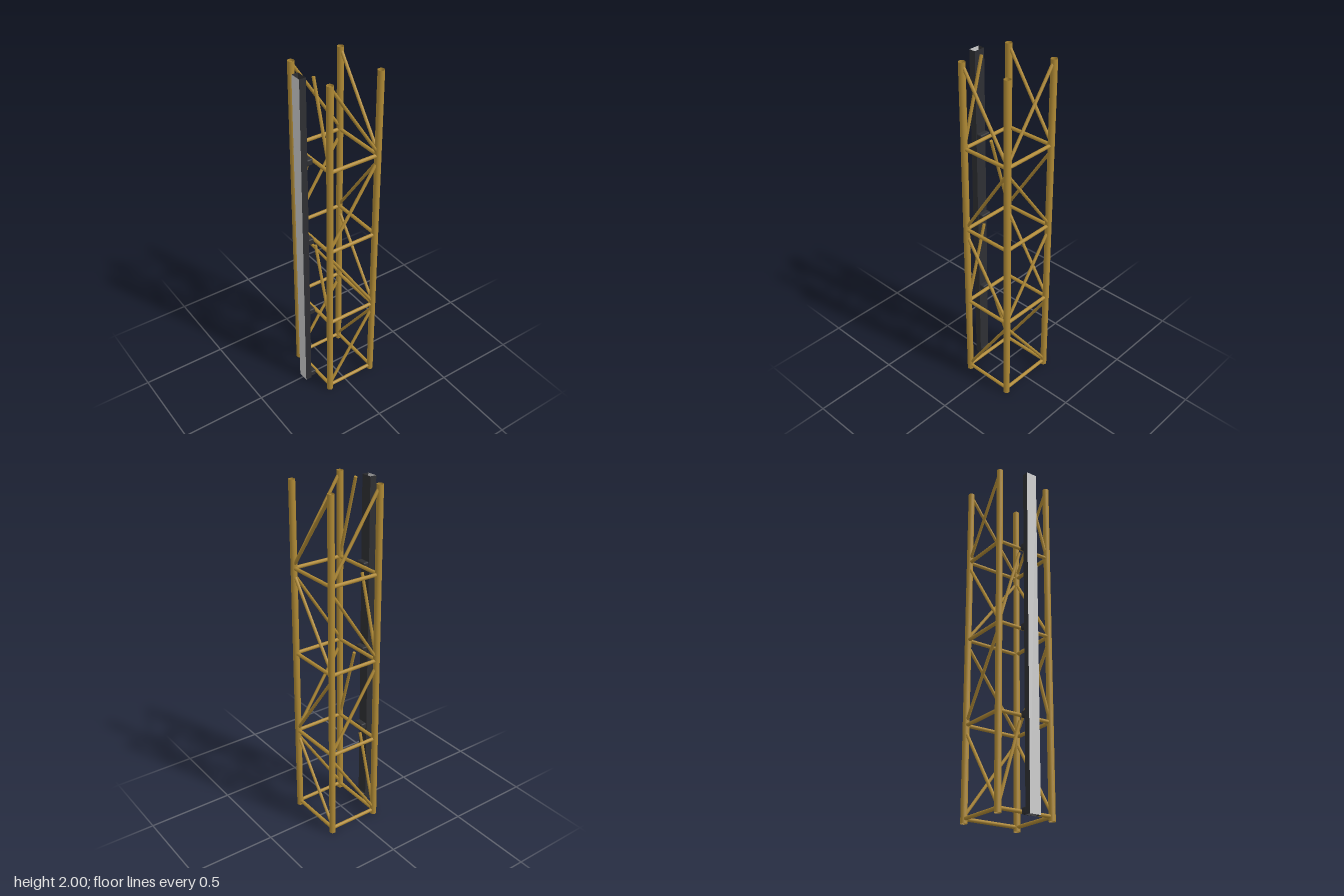
import * as THREE from 'three';
import { RoundedBoxGeometry } from 'three/addons/geometries/RoundedBoxGeometry.js';

const X = 0.167, FRONT = 0.118, BACK = -0.182; // post axes
const LEVELS = [0, 0.5, 1, 1.5];               // base of each bay

const gold = new THREE.MeshStandardMaterial({ color: 0xb08a35, side: THREE.DoubleSide });
const dark = new THREE.MeshStandardMaterial({ color: 0x2e2f33, side: THREE.DoubleSide });
const grey = new THREE.MeshStandardMaterial({ color: 0xcccccc, side: THREE.DoubleSide });

// Round tube between two points
function bar(name, a, b, radius, sides, open = false) {
  const from = new THREE.Vector3(...a), to = new THREE.Vector3(...b);
  const dir = to.clone().sub(from);
  const mesh = new THREE.Mesh(
    new THREE.CylinderGeometry(radius, radius, dir.length(), sides, 1, open), gold);
  mesh.name = name;
  mesh.position.copy(from).add(to).multiplyScalar(0.5);
  mesh.quaternion.setFromUnitVectors(new THREE.Vector3(0, 1, 0), dir.normalize());
  return mesh;
}

// Hollow rail, open at both ends, with a pale front face
function makeRail() {
  const rail = new THREE.Group();
  rail.name = 'rail';
  const w = 0.066, d = 0.038;
  const wall = (name, width, x, z, turn, material) => {
    const mesh = new THREE.Mesh(new THREE.PlaneGeometry(width, 2), material);
    mesh.name = name;
    mesh.position.set(x, 1, z);
    mesh.rotation.y = turn;
    rail.add(mesh);
  };
  wall('railFront', w, 0, d / 2, 0, grey);
  wall('railBack', w, 0, -d / 2, Math.PI, dark);
  for (const s of [-1, 1]) wall('railSide', d, s * w / 2, 0, s * Math.PI / 2, dark);
  rail.position.z = 0.2 - d / 2;
  return rail;
}

export function createModel() {
  const model = new THREE.Group();
  model.name = 'latticeMast';

  // Corner posts, open tubes
  for (const x of [-X, X])
    for (const z of [FRONT, BACK])
      model.add(bar('post', [x, 0, z], [x, 2, z], 0.0185, 16, true));

  LEVELS.forEach((base, i) => {
    const y = base + 0.025, low = base + 0.037, high = base + 0.49;
    const flip = i % 2 === 1;

    // Horizontal frame
    for (const z of [FRONT, BACK])
      model.add(bar('crossBar', [-X, y, z], [X, y, z], 0.0105, 10));
    for (const x of [-X, X])
      model.add(bar('sideBar', [x, y, BACK], [x, y, FRONT], 0.0105, 10));

    // Zigzag braces on the back and both sides
    const a = flip ? high : low, b = flip ? low : high;
    model.add(bar('backBrace', [-X, a, BACK], [X, b, BACK], 0.009, 8));
    for (const x of [-X, X])
      model.add(bar('sideBrace', [x, a, FRONT], [x, b, BACK], 0.009, 8));

    // Short front brace, alternating sides and ending beside the rail
    const s = flip ? 1 : -1;
    model.add(bar('frontBrace', [s * X, base + 0.025, FRONT], [s * 0.031, base + 0.493, FRONT], 0.009, 8));

    // Bracket holding the rail
    const bracket = new THREE.Mesh(new RoundedBoxGeometry(0.065, 0.036, 0.036, 2, 0.007), dark);
    bracket.name = 'railBracket';
    bracket.position.set(0, y, 0.145);
    model.add(bracket);
  });

  model.add(makeRail());
  return model;
}
